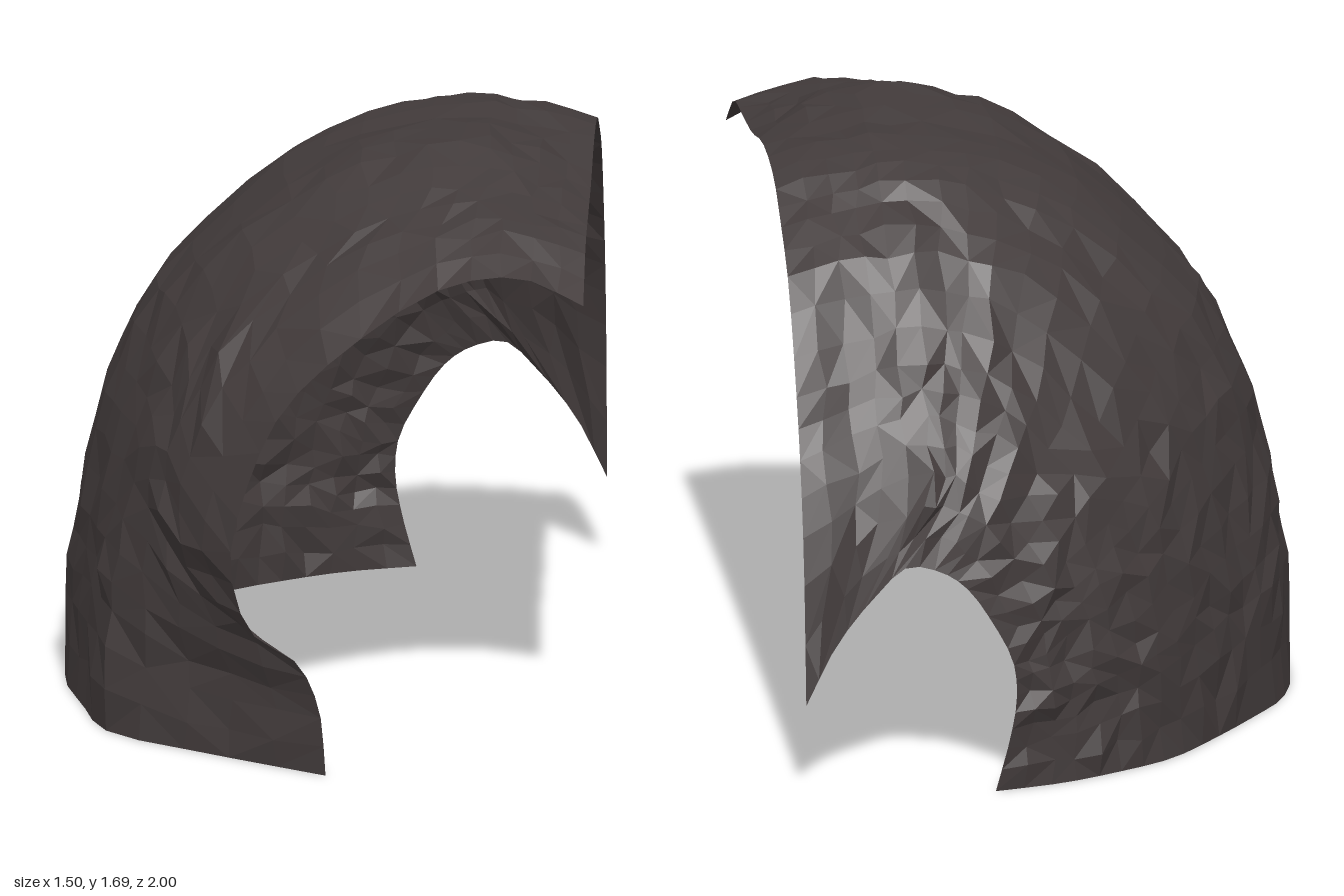
import * as THREE from 'three';

// Arch cross-section from the left base over the crown to the cut right edge:
// x0 = base x, H = crown height, R = height at the right edge.
const PROFILE = [[0, 0], [0.01, 0.18], [0.03, 0.31], [0.08, 0.47], [0.15, 0.61],
  [0.31, 0.77], [0.58, 0.92], [0.8, 0.98], [1, 1]];
const CROWN_X = 0.4, EDGE_X = 0.75;

function arch(z, x0, H, R) {
  const pts = PROFILE.map(([u, v]) => new THREE.Vector3(x0 + u * (CROWN_X - x0), v * H, z));
  pts.push(new THREE.Vector3(0.57, H - (H - R) * 0.35, z), new THREE.Vector3(EDGE_X, R, z));
  return pts;
}

const outline = (z, list) => list.map(([x, y]) => new THREE.Vector3(x, y, z));

function seeded(seed) {
  return () => {
    seed = (seed * 16807) % 2147483647;
    return seed / 2147483647;
  };
}

export function createModel() {
  const group = new THREE.Group();
  group.name = 'rockShelter';
  const rock = new THREE.MeshStandardMaterial({ color: 0x423b3b, flatShading: true, side: THREE.DoubleSide });
  rock.name = 'dark rock';

  const sections = [
    // front mouth, with the foot curling inwards
    outline(1, [[0.02, 0], [0, 0.2], [-0.06, 0.33], [-0.19, 0.42], [-0.25, 0.62], [-0.2, 0.86],
      [-0.1, 1.08], [0.1, 1.28], [0.36, 1.45], [0.57, 1.48], [0.75, 1.4]]),
    outline(0.8, [[-0.32, 0], [-0.31, 0.2], [-0.35, 0.4], [-0.42, 0.6], [-0.42, 0.8], [-0.35, 1.02],
      [-0.18, 1.25], [0.1, 1.46], [0.35, 1.56], [0.57, 1.57], [0.75, 1.52]]),
    // body of the shell
    arch(0.6, -0.61, 1.62, 1.54),
    arch(0.35, -0.69, 1.69, 1.56),
    arch(0.08, -0.75, 1.67, 1.61),
    arch(-0.19, -0.7, 1.66, 1.59),
    arch(-0.36, -0.6, 1.58, 1.51),
    arch(-0.55, -0.47, 1.45, 1.39),
    arch(-0.74, -0.32, 1.22, 1.14),
    arch(-0.85, -0.16, 1.06, 0.94),
    arch(-0.94, 0.01, 0.88, 0.68),
    // ragged hole at the back
    outline(-1, [[0.21, 0], [0.17, 0.15], [0.15, 0.27], [0.16, 0.38], [0.22, 0.5], [0.29, 0.6],
      [0.36, 0.65], [0.46, 0.67], [0.55, 0.59], [0.66, 0.45], [0.75, 0.27]]),
  ];

  // Smooth along each section, then from section to section
  const COLS = 24, ROWS = 27;
  const rand = seeded(71);
  const ribs = sections.map((s) => new THREE.CatmullRomCurve3(s, false, 'centripetal').getPoints(COLS));
  const rails = [];
  for (let j = 0; j <= COLS; j++) {
    const rail = new THREE.CatmullRomCurve3(ribs.map((r) => r[j]), false, 'centripetal');
    rails.push(rail.getPoints(ROWS));
  }

  // Roughen the rock, keeping the cut borders clean
  const positions = [], index = [];
  const wobble = (size) => (rand() - 0.5) * size;
  for (let i = 0; i <= ROWS; i++) {
    for (let j = 0; j <= COLS; j++) {
      const p = rails[j][i];
      if (i > 0 && i < ROWS && j > 0 && j < COLS) {
        p.x += wobble(0.022);
        p.y += wobble(0.022);
        p.z += wobble(0.03);
      }
      positions.push(THREE.MathUtils.clamp(p.x, -0.755, EDGE_X), Math.max(0, p.y),
        THREE.MathUtils.clamp(p.z, -1, 1));
    }
  }
  for (let i = 0; i < ROWS; i++) {
    for (let j = 0; j < COLS; j++) {
      const a = i * (COLS + 1) + j, b = a + 1, c = a + COLS + 1, d = c + 1;
      if (rand() < 0.5) index.push(a, b, c, b, d, c);
      else index.push(a, b, d, a, d, c);
    }
  }

  const indexed = new THREE.BufferGeometry();
  indexed.setAttribute('position', new THREE.Float32BufferAttribute(positions, 3));
  indexed.setIndex(index);
  const geometry = indexed.toNonIndexed();
  geometry.computeVertexNormals();

  const shell = new THREE.Mesh(geometry, rock);
  shell.name = 'caveShell';
  group.add(shell);
  return group;
}
